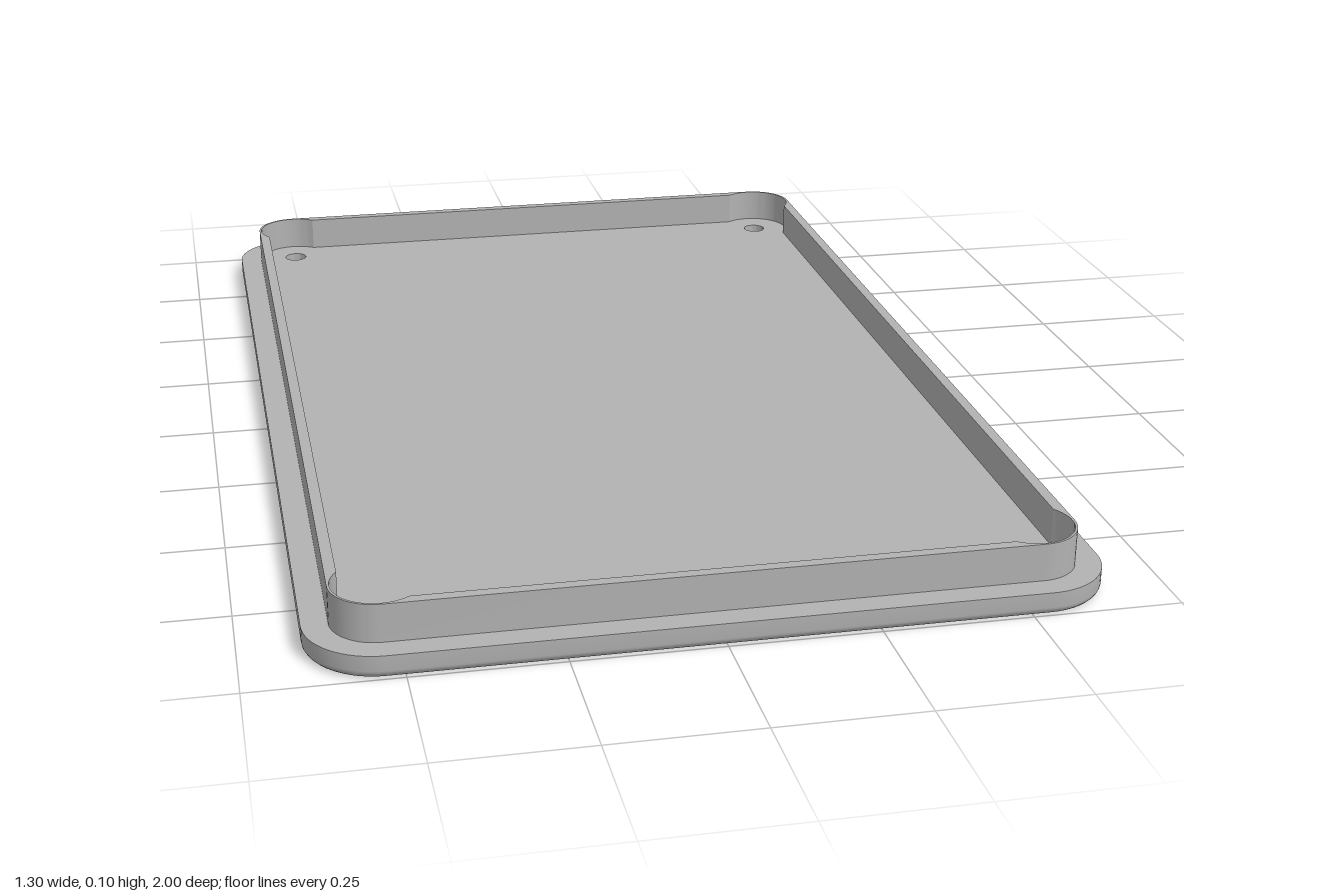
import * as THREE from 'three';
import { toCreasedNormals } from 'three/addons/utils/BufferGeometryUtils.js';

const CX = 0.53, CZ = 0.88; // corner centres, shared by arcs and screw holes
const SIGNS = [[1, 1], [-1, 1], [-1, -1], [1, -1]];

// Rounded rectangle around the corner centres; extra lengthens each corner arc
function outline(radius, extra = 0, segments = 16) {
  const points = [];
  SIGNS.forEach(([sx, sy], k) => {
    const start = k * Math.PI / 2 - extra;
    const sweep = Math.PI / 2 + 2 * extra;
    for (let i = 0; i <= segments; i++) {
      const a = start + sweep * i / segments;
      points.push(new THREE.Vector2(sx * CX + radius * Math.cos(a), sy * CZ + radius * Math.sin(a)));
    }
  });
  return points;
}

function circle(radius, x, y, n = 32) {
  return Array.from({ length: n }, (_, i) => {
    const a = i / n * Math.PI * 2;
    return new THREE.Vector2(x + radius * Math.cos(a), y + radius * Math.sin(a));
  });
}

// Closed wall through [outline, height] rows; inward flips the visible side
function wall(rows, inward = false) {
  const pos = [];
  for (let r = 0; r < rows.length - 1; r++) {
    const [low, y0] = rows[r], [high, y1] = rows[r + 1];
    for (let i = 0; i < low.length; i++) {
      const j = (i + 1) % low.length;
      const a = [low[i].x, y0, -low[i].y], b = [low[j].x, y0, -low[j].y];
      const c = [high[j].x, y1, -high[j].y], d = [high[i].x, y1, -high[i].y];
      pos.push(...(inward ? [a, c, b, a, d, c] : [a, b, c, a, c, d]).flat());
    }
  }
  const geo = new THREE.BufferGeometry();
  geo.setAttribute('position', new THREE.Float32BufferAttribute(pos, 3));
  return toCreasedNormals(geo, 0.5);
}

// Flat face with holes, facing up or down
function face(points, holes, y, down = false) {
  const shape = new THREE.Shape(points);
  shape.holes = holes.map((h) => new THREE.Path(h));
  return new THREE.ShapeGeometry(shape).rotateX(down ? Math.PI / 2 : -Math.PI / 2).translate(0, y, 0);
}

export function createModel() {
  const group = new THREE.Group();
  group.name = 'enclosureLid';
  const grey = new THREE.MeshStandardMaterial({ color: 0xb2b2b2 });
  grey.name = 'grey plastic';
  const add = (name, geo) => {
    const mesh = new THREE.Mesh(geo, grey);
    mesh.name = name;
    group.add(mesh);
  };

  const floorY = 0.04, rimY = 0.105, fillet = 0.014, plateR = 0.12;
  const holeR = 0.0225, sinkR = 0.042, sinkY = 0.02;
  const holes = (r) => SIGNS.map(([sx, sy]) => circle(r, sx * CX, sy * CZ));

  // Plate edge, rounded underneath
  const rows = [];
  for (let i = 0; i <= 5; i++) {
    const a = i / 5 * Math.PI / 2;
    rows.push([outline(plateR - fillet + fillet * Math.sin(a)), fillet * (1 - Math.cos(a))]);
  }
  rows.push([outline(plateR), floorY]);
  add('plateEdge', wall(rows));
  add('plateTop', face(outline(plateR), holes(holeR), floorY));
  add('plateBottom', face(outline(plateR - fillet), holes(sinkR), 0, true));

  // Countersunk screw holes
  SIGNS.forEach(([sx, sy]) => {
    const ring = (r) => circle(r, sx * CX, sy * CZ);
    add('screwHole', wall([[ring(sinkR), 0], [ring(holeR), sinkY], [ring(holeR), floorY]], true));
  });

  // Raised rim, hollowed to a thin wall around each screw
  const outer = outline(0.077);
  const inner = outline(0.073, Math.acos(0.058 / 0.073), 24);
  add('rimOutside', wall([[outer, floorY], [outer, rimY]]));
  add('rimInside', wall([[inner, floorY], [inner, rimY]], true));
  add('rimTop', face(outer, [inner], rimY));

  return group;
}
